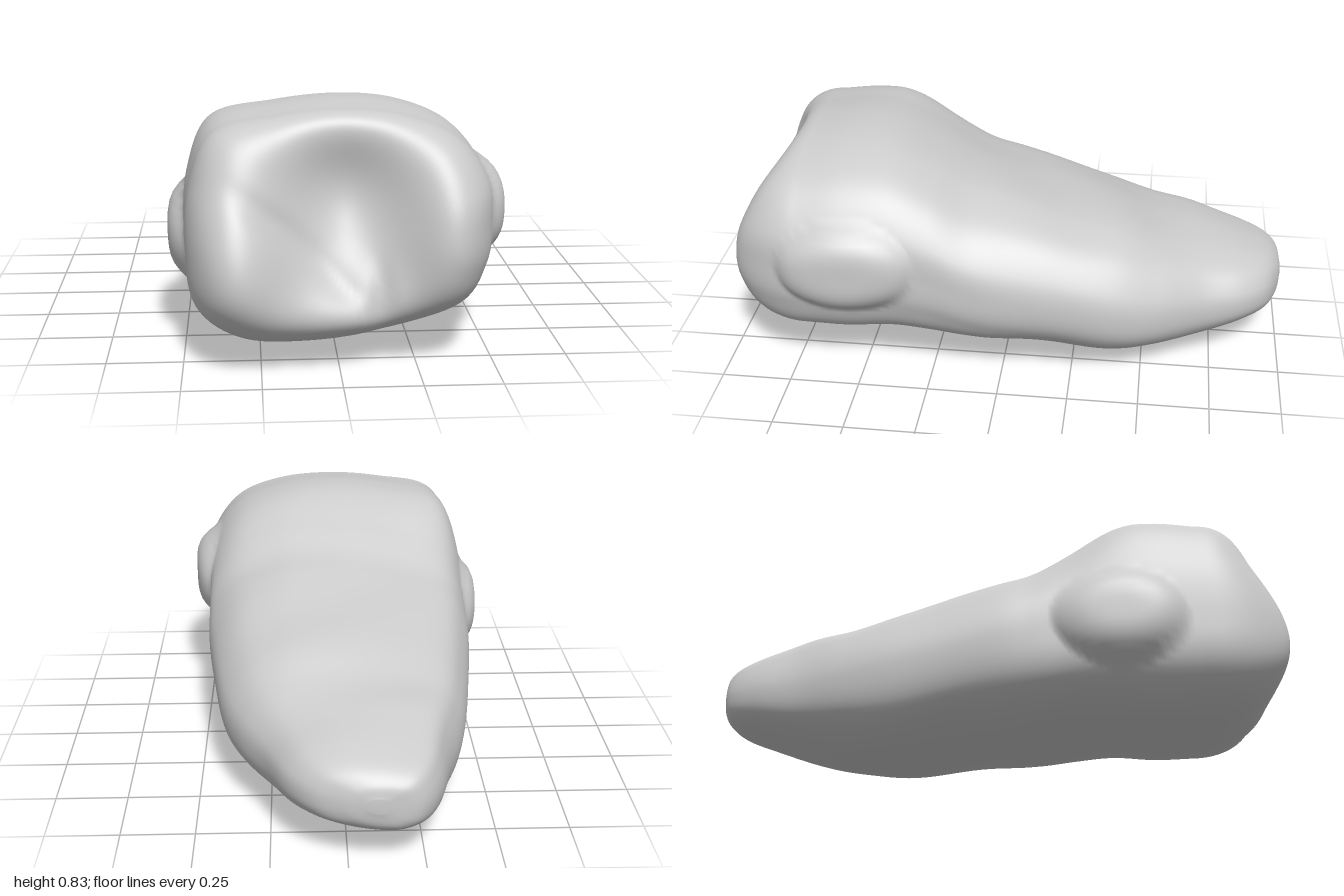
import * as THREE from 'three';
import { mergeVertices } from 'three/addons/utils/BufferGeometryUtils.js';

const AROUND = 110, ALONG = 120, CAP = 36;
const { smoothstep } = THREE.MathUtils;

// Cross-section outlines: u runs -1..1 across, v runs 0..1 from bottom to top
const sampleOutline = (points) => {
  const curve = new THREE.CatmullRomCurve3(
    points.map(([u, v]) => new THREE.Vector3(u, v, 0)), true, 'catmullrom');
  return Array.from({ length: AROUND }, (_, j) => curve.getPoint(j / AROUND));
};
const rearOutline = sampleOutline([
  [-1, 0.42], [-0.95, 0.7], [-0.8, 0.9], [-0.4, 0.98], [0, 1], [0.4, 0.975],
  [0.75, 0.88], [0.95, 0.7], [1, 0.52], [0.94, 0.33], [0.72, 0.17], [0.25, 0.05],
  [-0.25, 0], [-0.6, 0.025], [-0.9, 0.16],
]);
const frontOutline = sampleOutline([
  [-1, 0.4], [-0.97, 0.68], [-0.81, 0.91], [-0.4, 0.975], [0, 1], [0.4, 0.975],
  [0.76, 0.88], [0.97, 0.7], [1, 0.52], [0.97, 0.34], [0.8, 0.16], [0.28, 0.045],
  [-0.25, 0], [-0.66, 0.025], [-0.94, 0.16],
]);

// Stations from the narrow tail to the front: z, min x, max x, bottom, top
const stations = [
  [-1.0, -0.12, -0.06, 0.205, 0.255], [-0.985, -0.21, 0.02, 0.15, 0.3],
  [-0.94, -0.265, 0.12, 0.115, 0.34], [-0.85, -0.31, 0.2, 0.085, 0.375],
  [-0.7, -0.35, 0.27, 0.04, 0.42], [-0.55, -0.4, 0.36, 0.01, 0.47],
  [-0.4, -0.435, 0.42, 0.0, 0.54], [-0.2, -0.465, 0.455, 0.02, 0.595],
  [0, -0.49, 0.48, 0.04, 0.65], [0.12, -0.495, 0.485, 0.055, 0.685],
  [0.25, -0.495, 0.485, 0.065, 0.755], [0.4, -0.5, 0.49, 0.07, 0.815],
  [0.55, -0.5, 0.5, 0.06, 0.83], [0.7, -0.49, 0.5, 0.065, 0.815],
];
const widths = new THREE.CatmullRomCurve3(
  stations.map(([z, a, b]) => new THREE.Vector3(a, b, z)), false, 'catmullrom');
const heights = new THREE.CatmullRomCurve3(
  stations.map(([z, , , a, b]) => new THREE.Vector3(a, b, z)), false, 'catmullrom');

const bump = (x, y, cx, cy, rx, ry) =>
  Math.exp(-(((x - cx) / rx) ** 2) - ((y - cy) / ry) ** 2);

// Front relief: two swollen lobes, a lower lip, a central dent and a slanting crease
function frontDepth(x, y) {
  const crease = Math.exp(-(((x - 0.28 + y) / 0.06) ** 2))
    * smoothstep(y, 0.14, 0.28) * (1 - smoothstep(y, 0.48, 0.66));
  return 0.85 + 0.17 * bump(x, y, -0.36, 0.32, 0.23, 0.29)
    + 0.125 * bump(x, y, 0.37, 0.42, 0.18, 0.3)
    + 0.08 * bump(x, y, 0, 0.16, 0.22, 0.13)
    - 0.115 * bump(x, y, 0.02, 0.57, 0.22, 0.23)
    - 0.02 * crease - 0.025 * bump(x, y, 0.13, 0.22, 0.035, 0.1);
}

// Low swelling on each flank: side, y, z, height and length radius
const swellings = [[1, 0.47, 0.53, 0.17, 0.24], [-1, 0.36, 0.42, 0.17, 0.23]];
function sideSwell(x, y, z) {
  let offset = 0;
  for (const [side, cy, cz, ry, rz] of swellings) {
    const d = ((y - cy) / ry) ** 2 + ((z - cz) / rz) ** 2;
    if (side * x > 0.3 && d < 1) offset += side * 0.055 * (1 - d * d);
  }
  return offset;
}

function bodyGeometry() {
  const pos = [], index = [];
  const place = (t, s) => {
    const w = widths.getPoint(t), h = heights.getPoint(t);
    const blend = smoothstep(w.z, -0.2, 0.3);
    // Behind the front the back slopes down toward one side
    const slope = 0.09 * smoothstep(w.z, -0.7, -0.4) * (1 - smoothstep(w.z, 0.2, 0.5));
    for (let j = 0; j < AROUND; j++) {
      const p = rearOutline[j].clone().lerp(frontOutline[j], blend);
      let x = (w.x + w.y) / 2 + p.x * s * (w.y - w.x) / 2;
      let y = (h.x + h.y) / 2 + (p.y - 0.5) * s * (h.y - h.x);
      let z = w.z;
      if (t === 1) z += (frontDepth(x, y) - z) * Math.sqrt(1 - s ** 6);
      y -= slope * Math.max(0, 0.2 - x) * smoothstep(p.y, 0.4, 1);
      y += 0.004 * Math.sin(9 * x + 13 * w.z) * Math.sin(Math.PI * t);
      x += sideSwell(x, y, z);
      pos.push(x, y, z);
    }
  };
  place(0, 0); // closes the tail
  for (let i = 0; i <= ALONG; i++) place(i / ALONG, 1);
  // Front cap shrinks toward its middle, with close rings at the rim
  for (let i = 1; i <= CAP; i++) place(1, Math.cos((i / CAP) * Math.PI / 2));

  const rings = pos.length / 3 / AROUND;
  for (let i = 0; i < rings - 1; i++) {
    for (let j = 0; j < AROUND; j++) {
      const k = (j + 1) % AROUND;
      const a = i * AROUND + j, b = i * AROUND + k, c = a + AROUND, d = b + AROUND;
      index.push(a, c, b, b, c, d);
    }
  }
  const geo = new THREE.BufferGeometry();
  geo.setAttribute('position', new THREE.Float32BufferAttribute(pos, 3));
  geo.setIndex(index);
  const merged = mergeVertices(geo, 1e-5);
  merged.computeVertexNormals();
  return merged;
}

export function createModel() {
  const group = new THREE.Group();
  const body = new THREE.Mesh(bodyGeometry(), new THREE.MeshStandardMaterial({ color: 0xcccccc }));
  body.name = 'body';
  group.add(body);
  return group;
}
